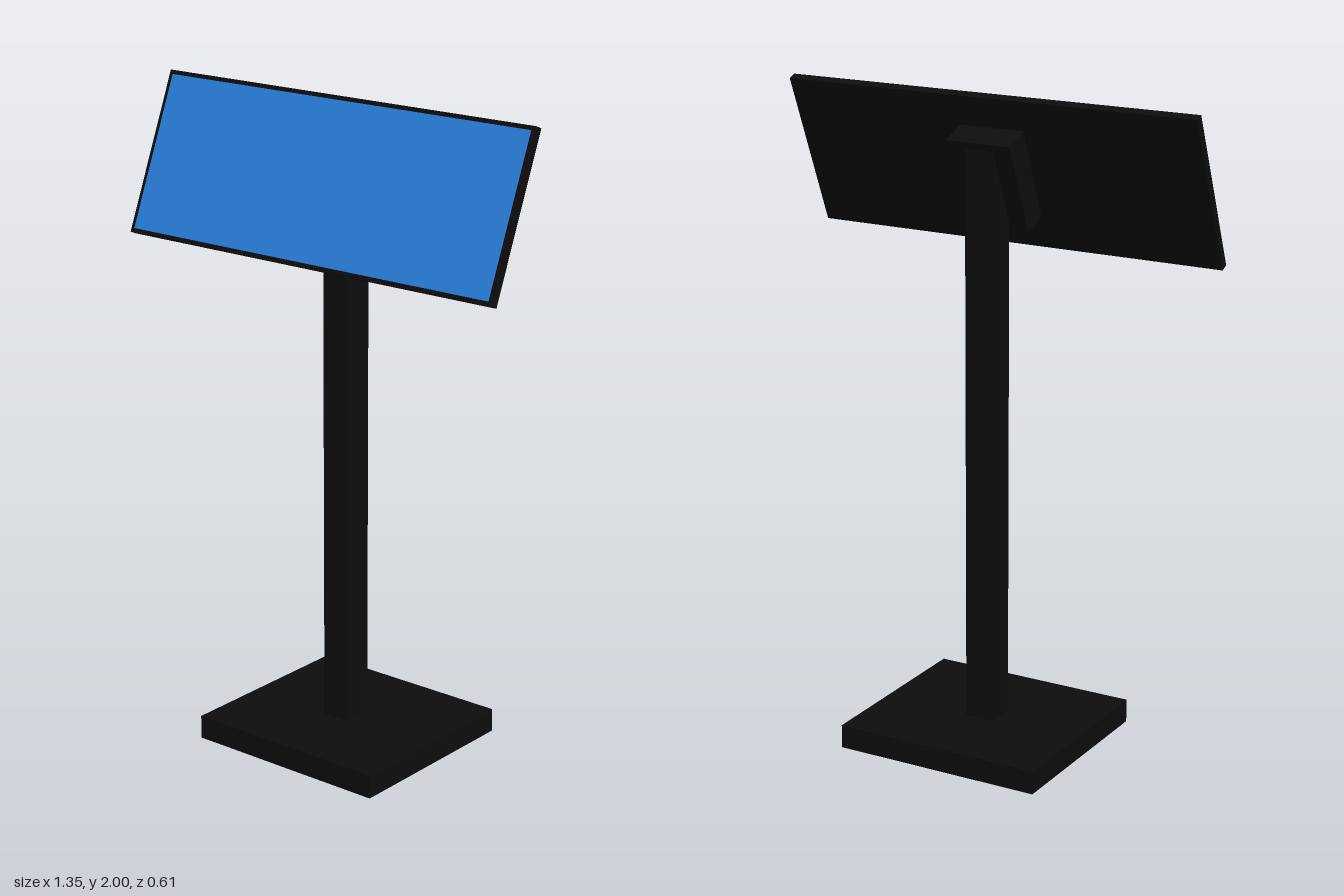
import * as THREE from 'three';

const black = new THREE.MeshStandardMaterial({ color: 0x0d0d0d });
const blue = new THREE.MeshStandardMaterial({ color: 0x2b83e3 });

function box(name, size, position, material = black) {
  const mesh = new THREE.Mesh(new THREE.BoxGeometry(...size), material);
  mesh.name = name;
  mesh.position.set(...position);
  return mesh;
}

export function createModel() {
  const model = new THREE.Group();
  model.name = 'displayStand';

  // Floor plate and square post
  const baseHeight = 0.073, postTop = 1.85;
  model.add(box('base', [0.666, baseHeight, 0.608], [0.005, baseHeight / 2, 0]));
  model.add(box('post', [0.094, postTop - baseHeight, 0.094], [0, (postTop + baseHeight) / 2, 0]));

  // Tilted head: panel, screen and the mounting block behind it
  const width = 1.345, height = 0.504, depth = 0.026, border = 0.013;
  const head = new THREE.Group();
  head.name = 'head';
  head.position.set(0, 1.762, 0.0945);
  head.rotation.x = THREE.MathUtils.degToRad(-22.5);
  head.add(box('panel', [width, height, depth], [0, 0, 0]));
  head.add(box('screen', [width - 2 * border, height - 2 * border, 0.004], [0, 0, depth / 2], blue));
  head.add(box('bracket', [0.21, 0.294, 0.086], [0, 0.005, -depth / 2 - 0.043]));
  model.add(head);

  return model;
}
